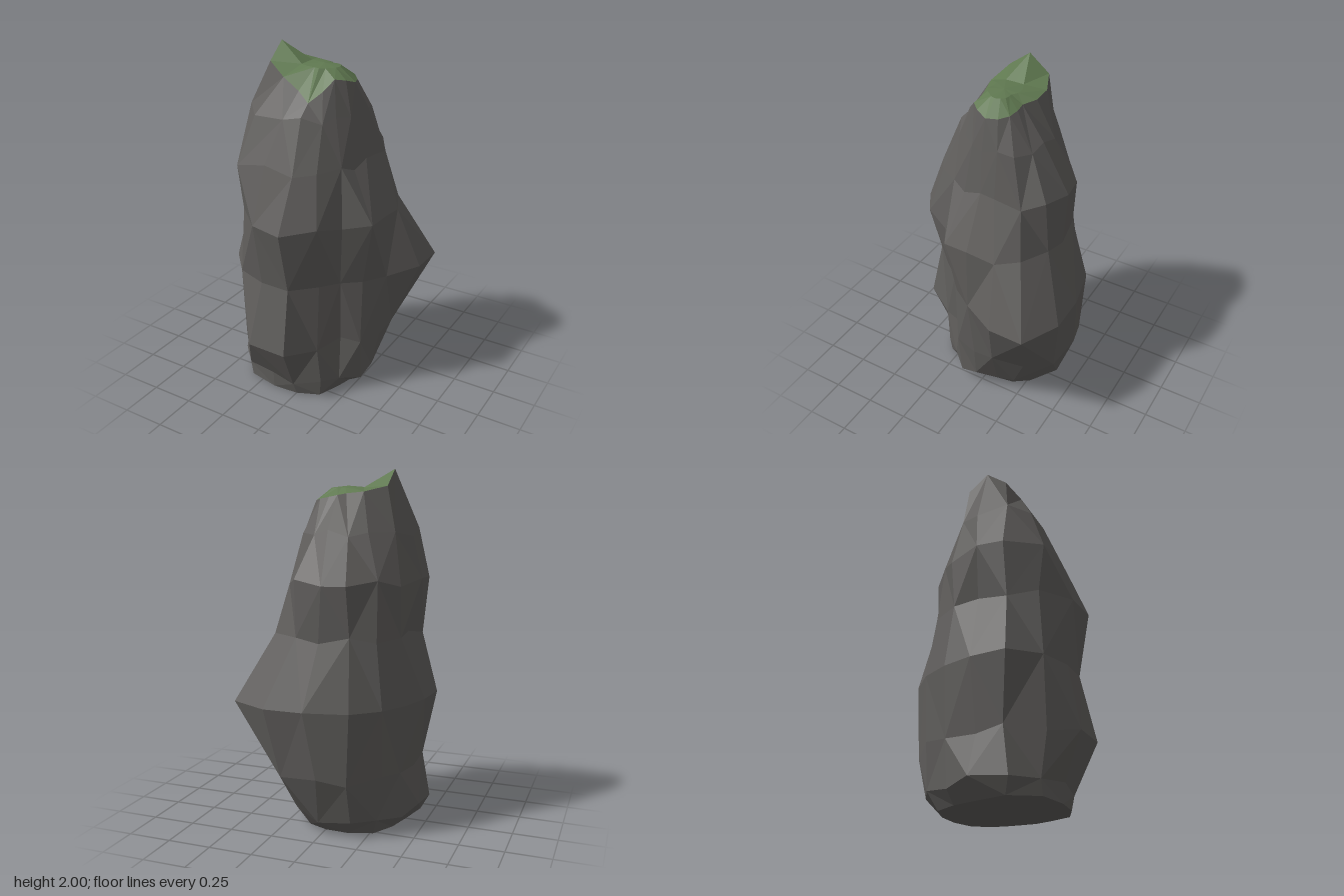
import * as THREE from 'three';

const SIDES = 16;

// Radii of each cross-section, starting at +x and turning towards +z
const SECTIONS = [
  { y: 0.0, r: [0.2, 0.22, 0.25, 0.33, 0.36, 0.4, 0.47, 0.455, 0.38, 0.37, 0.38, 0.34, 0.31, 0.29, 0.25, 0.21] },
  { y: 0.09, r: [0.31, 0.32, 0.3, 0.34, 0.38, 0.41, 0.48, 0.51, 0.46, 0.43, 0.44, 0.43, 0.4, 0.37, 0.31, 0.29] },
  { y: 0.34, r: [0.35, 0.33, 0.27, 0.35, 0.51, 0.55, 0.5, 0.46, 0.42, 0.43, 0.46, 0.48, 0.49, 0.51, 0.44, 0.39] },
  { y: 0.73, r: [0.39, 0.33, 0.29, 0.33, 0.43, 0.46, 0.51, 0.54, 0.48, 0.46, 0.475, 0.5, 0.52, 0.59, 0.65, 0.54] },
  { y: 1.1, r: [0.38, 0.4, 0.33, 0.42, 0.5, 0.51, 0.48, 0.45, 0.38, 0.41, 0.42, 0.4, 0.39, 0.4, 0.42, 0.4] },
  { y: 1.4, r: [0.24, 0.25, 0.27, 0.33, 0.38, 0.41, 0.51, 0.48, 0.45, 0.42, 0.39, 0.41, 0.4, 0.39, 0.34, 0.26] },
  { y: 1.66, r: [0.2, 0.2, 0.2, 0.23, 0.26, 0.3, 0.4, 0.42, 0.4, 0.36, 0.31, 0.28, 0.25, 0.25, 0.25, 0.22] },
];

// Uneven edge where rock meets moss, rising to a peak at -x
const RIM = {
  r: [0.17, 0.16, 0.15, 0.17, 0.2, 0.19, 0.24, 0.31, 0.29, 0.31, 0.24, 0.18, 0.12, 0.13, 0.15, 0.16],
  y: [1.83, 1.85, 1.86, 1.8, 1.74, 1.79, 1.85, 1.91, 2.0, 1.91, 1.88, 1.87, 1.86, 1.85, 1.84, 1.83],
};

function ring(radii, heightAt, twistAt = () => 0) {
  return radii.map((r, i) => {
    const a = (i / SIDES) * Math.PI * 2 + twistAt(i);
    return new THREE.Vector3(r * Math.cos(a), heightAt(i), r * Math.sin(a));
  });
}

const point = (x, y, z) => Array.from({ length: SIDES }, () => new THREE.Vector3(x, y, z));

// Join successive rings with triangles, alternating the diagonals
function loft(rings) {
  const pos = [];
  const tri = (a, b, c) => {
    if (a.equals(b) || b.equals(c) || a.equals(c)) return;
    for (const v of [a, b, c]) pos.push(v.x, v.y, v.z);
  };
  for (let k = 0; k < rings.length - 1; k++) {
    for (let i = 0; i < SIDES; i++) {
      const j = (i + 1) % SIDES;
      const a = rings[k][i], b = rings[k][j], c = rings[k + 1][i], d = rings[k + 1][j];
      if ((i + k) % 2) {
        tri(a, c, b);
        tri(b, c, d);
      } else {
        tri(a, c, d);
        tri(a, d, b);
      }
    }
  }
  const geometry = new THREE.BufferGeometry();
  geometry.setAttribute('position', new THREE.Float32BufferAttribute(pos, 3));
  geometry.computeVertexNormals();
  return geometry;
}

export function createModel() {
  const model = new THREE.Group();
  model.name = 'mossyRock';

  const add = (name, geometry, color) => {
    const mesh = new THREE.Mesh(geometry, new THREE.MeshStandardMaterial({ color, flatShading: true }));
    mesh.name = name;
    model.add(mesh);
  };

  // Rock body: wavy rings, flat at the base and at the widest level,
  // where the corners of the spur are drawn towards +x
  const spurTwist = (i) => (i >= 12 && i <= 14 ? 0.1 : 0);
  const rings = SECTIONS.map(({ y, r }, k) => {
    if (k === 0) return ring(r, () => y);
    if (k === 3) return ring(r, () => y, spurTwist);
    return ring(r, (i) => y + 0.02 * Math.sin(i * 2.4 + k * 1.7), (i) => 0.03 * Math.sin(i * 3.1 + k * 2.3));
  });
  const rim = ring(RIM.r, (i) => RIM.y[i]);
  add('rockBody', loft([point(-0.08, 0, 0.03), ...rings, rim]), 0x605e5c);

  // Moss cap: falls from the rim peak to a shallow top
  const inner = ring(RIM.r.map((r) => r * 0.45), () => 1.9);
  add('mossCap', loft([rim, inner, point(-0.02, 1.91, 0)]), 0x5f7850);

  return model;
}
